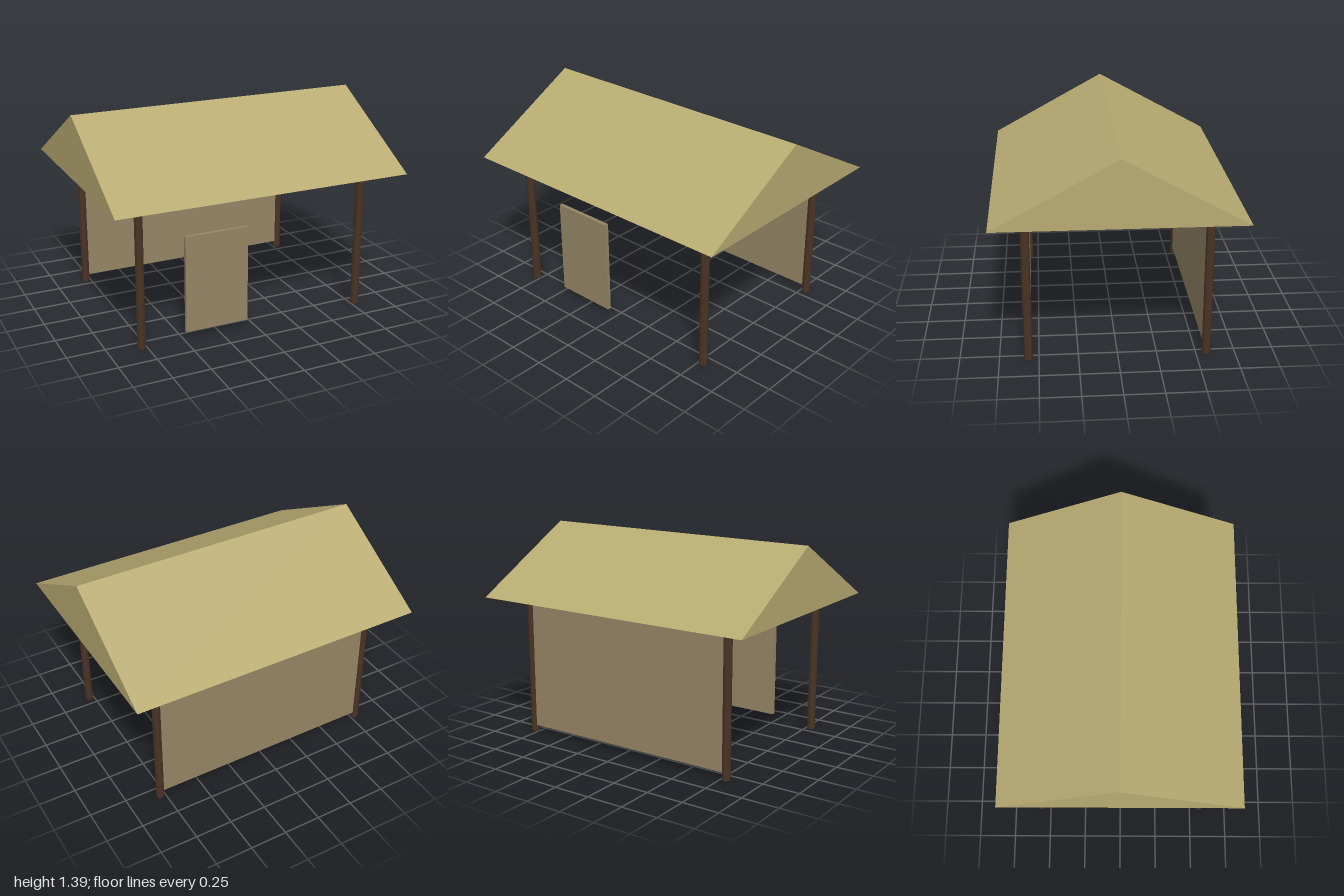
import * as THREE from 'three';

const POST_X = 0.782, POST_Z = 0.567, EAVE = 0.96, RIDGE = 1.39;

export function createModel() {
  const model = new THREE.Group();
  model.name = 'openShelter';

  const material = (color) => new THREE.MeshStandardMaterial({ color, flatShading: true });
  const thatch = material(0xb8ab72);
  const wood = material(0x4a3324);
  const matting = material(0x968665);

  const add = (name, geometry, mat, x, y, z) => {
    const mesh = new THREE.Mesh(geometry, mat);
    mesh.name = name;
    mesh.position.set(x, y, z);
    model.add(mesh);
  };

  // Solid gable roof: triangle in the z-y plane, extruded along x
  const gable = new THREE.Shape([
    new THREE.Vector2(-0.78, EAVE),
    new THREE.Vector2(0.78, EAVE),
    new THREE.Vector2(0, RIDGE),
  ]);
  const roof = new THREE.ExtrudeGeometry(gable, { depth: 2, bevelEnabled: false });
  roof.translate(0, 0, -1).rotateY(Math.PI / 2);
  add('roof', roof, thatch, 0, 0, 0);

  // Four octagonal corner posts
  const post = new THREE.CylinderGeometry(0.028, 0.028, EAVE, 8);
  for (const [sx, side] of [[1, 'Left'], [-1, 'Right']]) {
    for (const [sz, end] of [[1, 'front'], [-1, 'back']]) {
      add(`${end}${side}Post`, post, wood, sx * POST_X, EAVE / 2, sz * POST_Z);
    }
  }

  // Full back wall and the narrow front panel, both raised off the ground
  const panel = (name, x0, x1, y0, y1, z) =>
    add(name, new THREE.BoxGeometry(x1 - x0, y1 - y0, 0.026), matting, (x0 + x1) / 2, (y0 + y1) / 2, z);
  panel('backWall', -POST_X, POST_X, 0.045, 0.915, -POST_Z);
  panel('frontPanel', -0.48, -0.048, 0.045, 0.697, POST_Z);

  return model;
}
